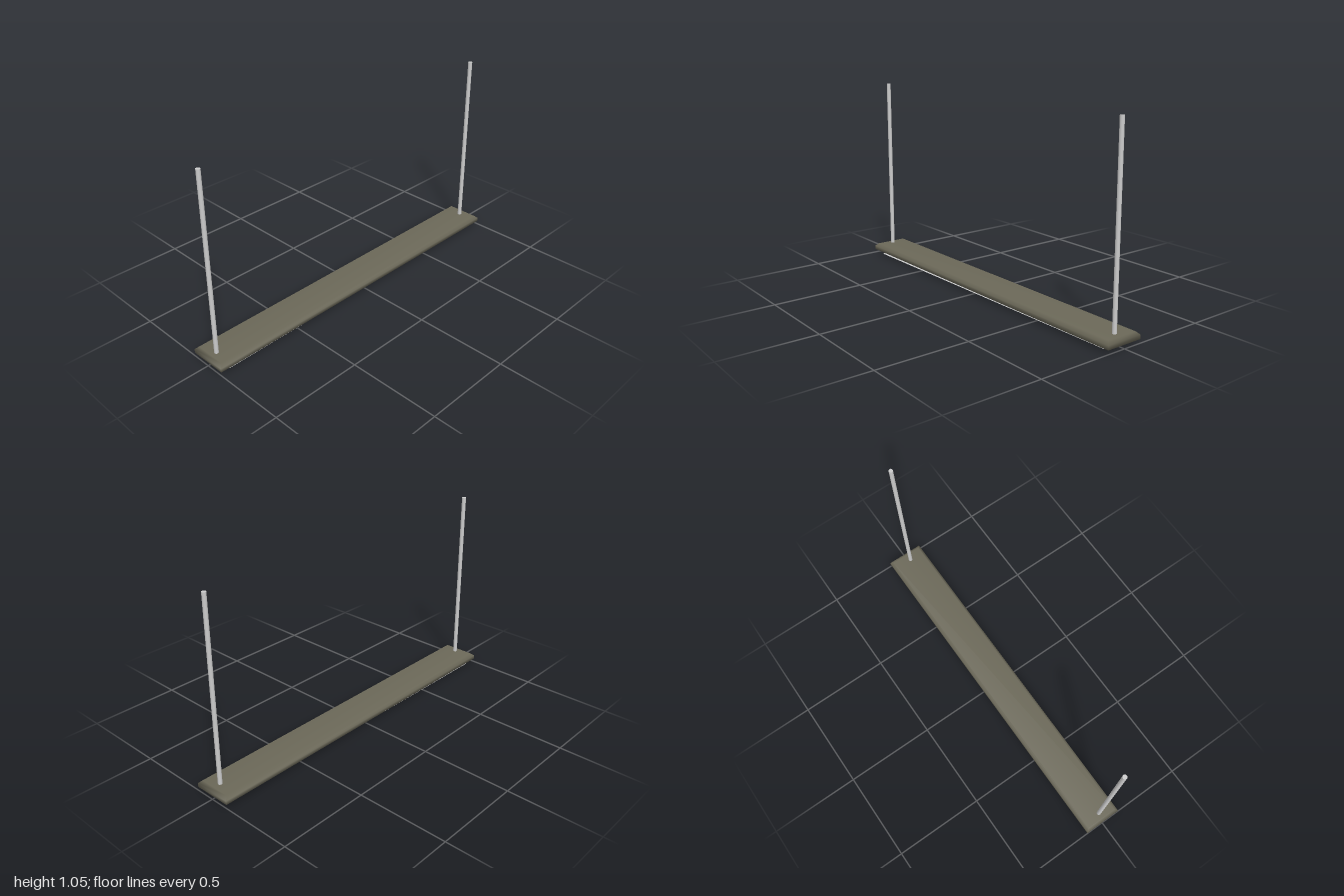
import * as THREE from 'three';
import { mergeVertices } from 'three/addons/utils/BufferGeometryUtils.js';

const metal = new THREE.MeshStandardMaterial({ color: 0xcccccc });
const panel = new THREE.MeshStandardMaterial({ color: 0xcccccc, side: THREE.DoubleSide });
const olive = new THREE.MeshStandardMaterial({ color: 0x6b6858 });

function part(group, name, geometry, material, x = 0, y = 0, z = 0) {
  const mesh = new THREE.Mesh(geometry, material);
  mesh.name = name;
  mesh.position.set(x, y, z);
  group.add(mesh);
  return mesh;
}

// Long slab whose top edges are chamfered inwards, with soft shared normals
function housingGeometry() {
  const box = new THREE.BoxGeometry(2, 2, 0.21, 1, 2, 1);
  const p = box.attributes.position;
  const heights = [0.02, 0.042, 0.057];
  for (let i = 0; i < p.count; i++) {
    const level = Math.round(p.getY(i)) + 1;
    p.setY(i, heights[level]);
    if (level === 2) {
      p.setX(i, p.getX(i) - Math.sign(p.getX(i)) * 0.017);
      p.setZ(i, p.getZ(i) - Math.sign(p.getZ(i)) * 0.016);
    }
  }
  box.deleteAttribute('normal');
  box.deleteAttribute('uv');
  const merged = mergeVertices(box);
  merged.computeVertexNormals();
  return merged;
}

export function createModel() {
  const model = new THREE.Group();
  model.name = 'hangingLamp';

  part(model, 'housing', housingGeometry(), olive);

  // Two hanging rods
  const rod = new THREE.CylinderGeometry(0.0115, 0.0115, 1, 12);
  part(model, 'leftRod', rod, metal, 0.942, 0.55, 0.007);
  part(model, 'rightRod', rod, metal, -0.95, 0.55, 0.007);

  // Two thin light panels just below the housing, very slightly tilted
  const sheet = new THREE.PlaneGeometry(1.9, 0.075).rotateX(Math.PI / 2);
  for (const [name, z] of [['frontLightPanel', 0.05], ['backLightPanel', -0.05]]) {
    part(model, name, sheet, panel, 0.01, 0.004, z).rotation.z = 0.0042;
  }
  return model;
}
